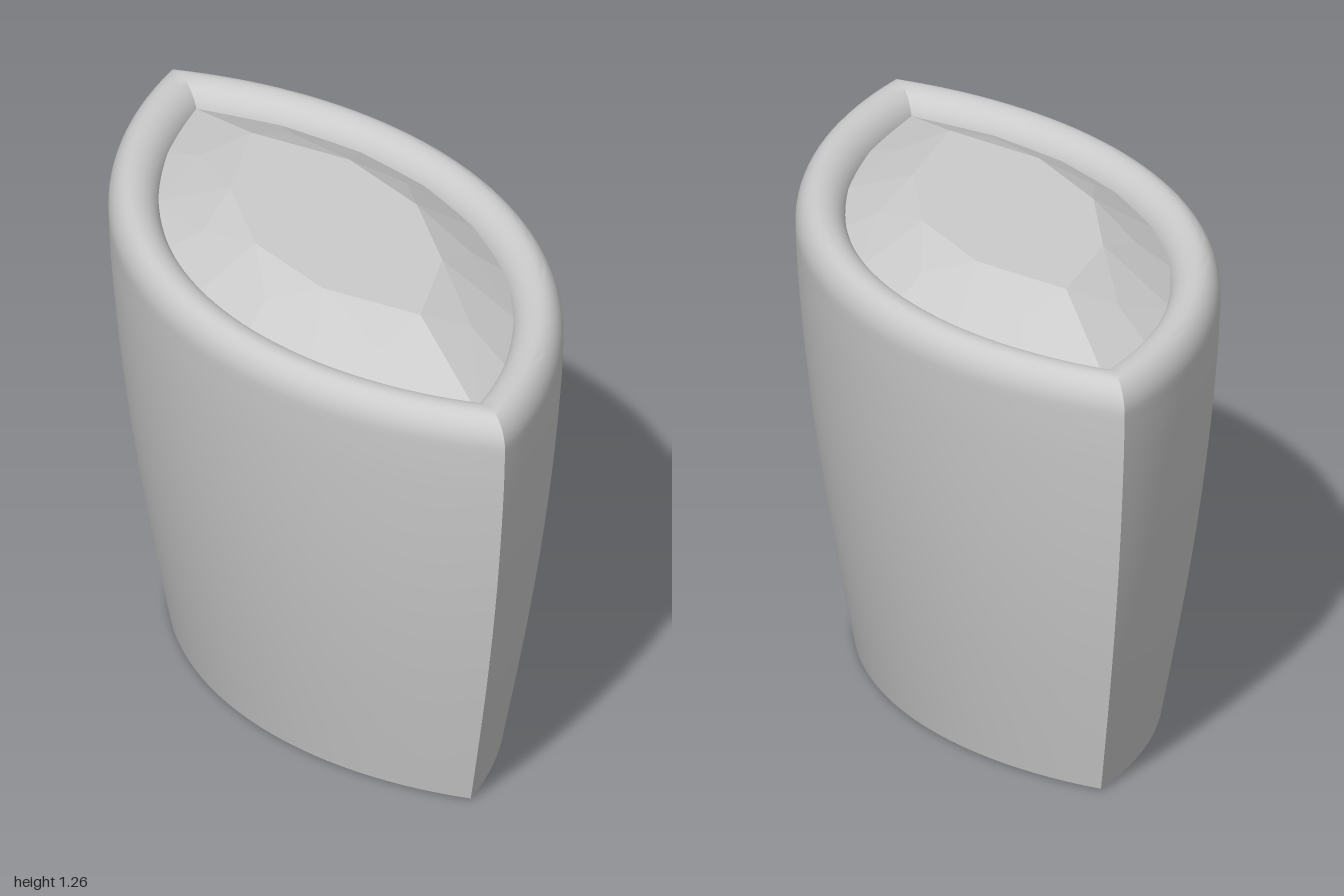
import * as THREE from 'three';
import { toCreasedNormals } from 'three/addons/utils/BufferGeometryUtils.js';

// Point at u (0..1) round a pointed oval of two arcs, half width w, half length l.
// u = 0 is the +z tip, u = 0.25 the +x side.
function ovalPoint(u, w, l, y) {
  u = ((u % 1) + 1) % 1;
  const r = (w * w + l * l) / (2 * w);
  const half = Math.asin(l / r);
  const sign = u < 0.5 ? 1 : -1;
  const t = half * (1 - 4 * (u % 0.5));
  return new THREE.Vector3(sign * (r * Math.cos(t) - (r - w)), y, sign * r * Math.sin(t));
}

// Half length that belongs to a half width, for walls of even thickness
const lengthFor = (w) => 1 - (0.503 - w) * 1.4;

function geometryFrom(points, index) {
  const geo = new THREE.BufferGeometry().setFromPoints(points);
  if (index) geo.setIndex(index);
  geo.computeVertexNormals();
  return geo;
}

// Hollow setting: a closed wall profile swept round the oval
function settingGeometry() {
  const outer = new THREE.SplineCurve([
    [0.358, 0.005], [0.394, 0.2], [0.428, 0.4], [0.457, 0.6],
    [0.48, 0.8], [0.497, 1.0], [0.503, 1.13],
  ].map(([w, y]) => new THREE.Vector2(w, y)));
  const profile = outer.getPoints(24);
  const steps = 20;
  for (let i = 1; i <= steps; i++) { // rounded rim
    const a = (i / steps) * Math.PI;
    const rx = a < Math.PI / 2 ? 0.056 : 0.072;
    profile.push(new THREE.Vector2(0.447 + rx * Math.cos(a), 1.13 + 0.08 * Math.sin(a)));
  }
  for (let i = 1; i <= 8; i++) { // inner wall down to the open base
    profile.push(new THREE.Vector2(0.375 - 0.075 * i / 8, 1.13 * (1 - i / 8)));
  }

  const around = 96, n = profile.length;
  const points = [], index = [];
  for (const p of profile) {
    for (let i = 0; i < around; i++) points.push(ovalPoint(i / around, p.x, lengthFor(p.x), p.y));
  }
  for (let j = 0; j < n; j++) {
    for (let i = 0; i < around; i++) {
      const k = (i + 1) % around, up = (j + 1) % n;
      const a = j * around + i, b = j * around + k;
      const c = up * around + k, d = up * around + i;
      index.push(a, b, d, b, c, d);
    }
  }
  return toCreasedNormals(geometryFrom(points, index), 0.5);
}

// Brilliant-cut stone: table, star, kite, girdle and pavilion facets
function stoneGeometry() {
  const table = (k) => ovalPoint(k / 8, 0.225, 0.5, 1.26);
  const star = (k) => ovalPoint((k + 0.5) / 8, 0.305, 0.67, 1.208);
  const girdle = (i, y = 1.15) => ovalPoint(i / 16, 0.392, 0.845, y);
  const top = new THREE.Vector3(0, 1.26, 0);
  const culet = new THREE.Vector3(0, 0.72, 0);
  const tris = [];
  for (let k = 0; k < 8; k++) {
    tris.push(top, table(k), table(k + 1));
    tris.push(star(k), table(k + 1), table(k));
    tris.push(girdle(2 * k), star(k), table(k));
    tris.push(girdle(2 * k), table(k), star(k - 1));
    tris.push(girdle(2 * k), girdle(2 * k + 1), star(k));
    tris.push(girdle(2 * k + 1), girdle(2 * k + 2), star(k));
  }
  const low = 1.13;
  for (let i = 0; i < 16; i++) {
    tris.push(girdle(i, low), girdle(i + 1, low), girdle(i));
    tris.push(girdle(i + 1, low), girdle(i + 1), girdle(i));
    tris.push(girdle(i, low), culet, girdle(i + 1, low));
  }
  return geometryFrom(tris);
}

export function createModel() {
  const group = new THREE.Group();
  group.name = 'bezelSetStone';

  const setting = new THREE.Mesh(
    settingGeometry(),
    new THREE.MeshStandardMaterial({ color: 0xcccccc }),
  );
  setting.name = 'bezelSetting';

  const stone = new THREE.Mesh(
    stoneGeometry(),
    new THREE.MeshStandardMaterial({ color: 0xcccccc, flatShading: true }),
  );
  stone.name = 'facetedStone';

  group.add(setting, stone);
  return group;
}
